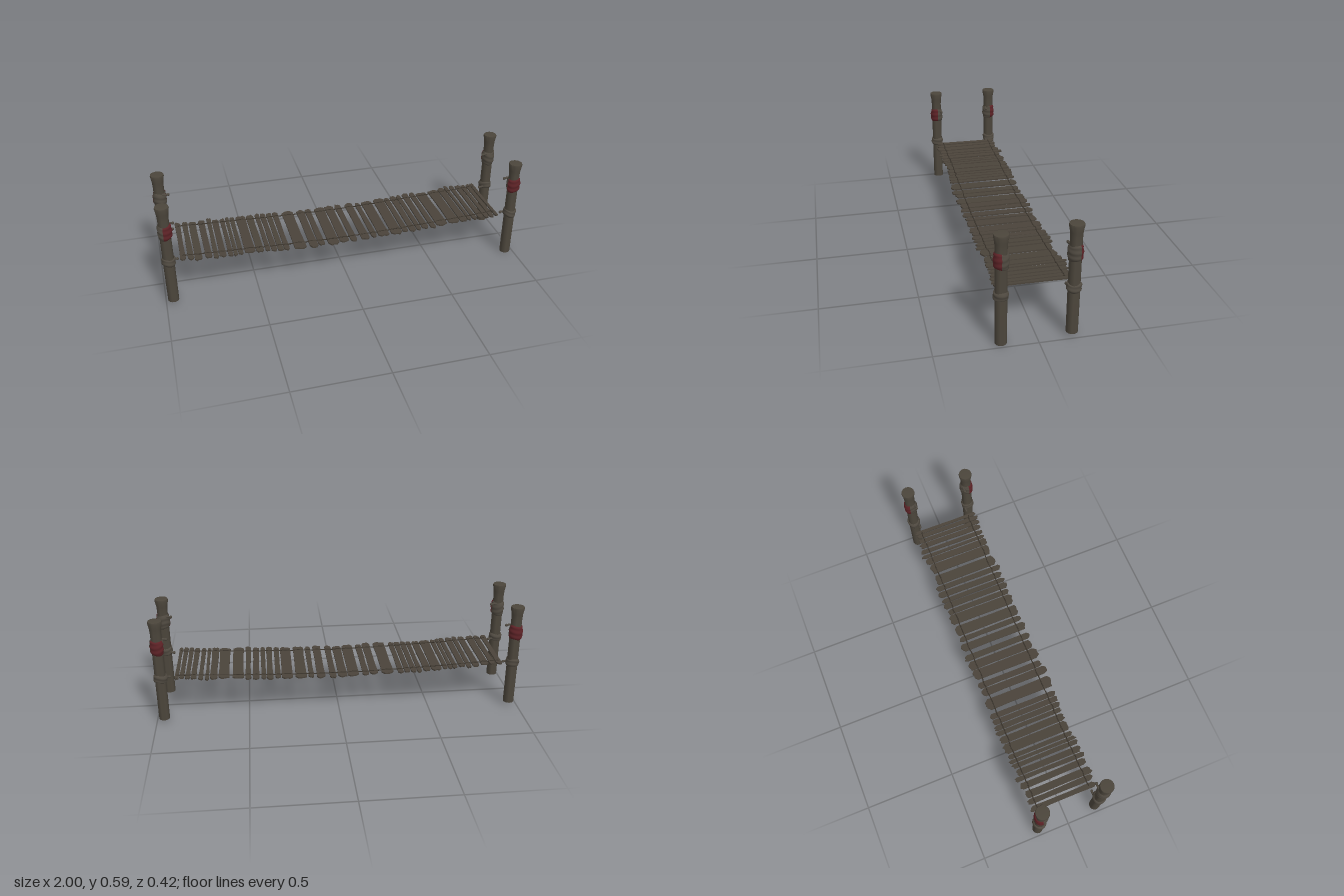
import * as THREE from 'three';
import { toCreasedNormals } from 'three/addons/utils/BufferGeometryUtils.js';

const mat = (name, color, side = THREE.FrontSide) => {
  const m = new THREE.MeshStandardMaterial({ color, side });
  m.name = name;
  return m;
};

// x ranges of the planks, in hundredths
const PLANKS = [
  [-90, -87], [-86, -83], [-82.5, -78.5], [-77, -73.5], [-72.5, -70], [-69.5, -66], [-65, -62.5], [-62, -60],
  [-59.5, -57], [-56, -50.5], [-50, -46], [-45, -42.5], [-42, -39], [-38.5, -35.5], [-35, -32], [-29.5, -23],
  [-21, -16.5], [-16, -12.5], [-10.5, -4.5], [-4, 1], [2, 5.5], [8, 12.5], [14, 17], [18, 24], [25.5, 31.5],
  [32, 35], [36, 39.5], [40, 42.5], [43.5, 47], [48, 51], [52, 58], [59.5, 65.5], [66, 70], [70.5, 72.5],
  [73.5, 76], [77, 80], [80.5, 83], [83.5, 86], [86.5, 88.5],
];

// walkway height: nearly flat in the middle, rising to both ends
const sag = (x) => 0.23 + 0.031 * Math.pow(Math.abs(x) / 0.9, 1.5);

export function createModel() {
  const model = new THREE.Group();
  model.name = 'plankBridge';
  const wood = mat('postWood', 0x4b453b);
  const plankWood = mat('plankWood', 0x4a433a);
  const cloth = mat('wrapping', 0x4e483f, THREE.DoubleSide);
  const red = mat('redCloth', 0x5c2226, THREE.DoubleSide);
  const rope = mat('rope', 0x3b352d);

  let seed = 17;
  const rnd = () => (seed = (seed * 16807) % 2147483647) / 2147483647;
  const add = (parent, name, geo, material) => {
    const mesh = new THREE.Mesh(geo, material);
    mesh.name = name;
    parent.add(mesh);
    return mesh;
  };

  // Post with a flared head and a shallow crown
  const postProfile = [
    [0, 0], [0.029, 0], [0.0295, 0.2], [0.029, 0.5], [0.031, 0.535], [0.037, 0.567], [0.035, 0.575], [0, 0.578],
  ].map(([r, y]) => new THREE.Vector2(r, y));
  const postGeo = toCreasedNormals(new THREE.LatheGeometry(postProfile, 20), 0.7);

  // Lumpy cloth band covering the angles a0..a1 (degrees from +x towards +z)
  function wrapGeo(y0, y1, r, a0, a1, phase) {
    const pts = [];
    for (let i = 0; i <= 14; i++) {
      const t = i / 14;
      const bulge = Math.pow(Math.sin(Math.PI * t), 0.35);
      pts.push(new THREE.Vector2(0.027 + (r - 0.027) * bulge, y0 + (y1 - y0) * t));
    }
    const rad = Math.PI / 180;
    const segs = Math.max(8, Math.round((a1 - a0) / 9));
    const geo = new THREE.LatheGeometry(pts, segs, (90 - a1) * rad, (a1 - a0) * rad);
    const p = geo.attributes.position;
    for (let i = 0; i < p.count; i++) {
      const x = p.getX(i), y = p.getY(i), z = p.getZ(i);
      const a = Math.atan2(z, x);
      const k = 1 + 0.045 * Math.sin(y * 210 + 2 * Math.sin(a + phase)) + 0.03 * Math.sin(3 * a + phase);
      p.setXYZ(i, x * k, y + 0.004 * Math.sin(a * 2 + phase), z * k);
    }
    geo.computeVertexNormals();
    return geo;
  }

  // Four posts: position, foot height and the angles of the red cloth
  const posts = [
    ['frontLeftPost', 0.96, 0.175, 0, 5, 170],
    ['frontRightPost', -0.96, 0.175, 0.015, -5, 105],
    ['backLeftPost', 0.96, -0.169, 0.015, 200, 332],
    ['backRightPost', -0.96, -0.169, 0.015, 185, 350],
  ];
  posts.forEach(([name, x, z, foot, a0, a1], n) => {
    const g = new THREE.Group();
    g.name = name;
    g.position.set(x, 0, z);
    model.add(g);
    add(g, 'post', postGeo, wood).position.y = foot;
    add(g, 'upperWrap', wrapGeo(0.402, 0.485, 0.0365, a1, a0 + 360, n), cloth);
    add(g, 'redWrap', wrapGeo(0.402, 0.485, 0.0375, a0, a1, n), red);
    add(g, 'lowerWrap', wrapGeo(0.24, 0.284, 0.0365, 0, 360, n + 2), cloth);
    // Short rope ends pointing to the walkway
    const sx = -Math.sign(x), sz = -Math.sign(z);
    for (const y of [0.253, 0.473]) {
      const path = new THREE.CatmullRomCurve3([
        new THREE.Vector3(sx * 0.015, y + 0.004, sz * 0.022),
        new THREE.Vector3(sx * 0.034, y + 0.002, sz * 0.024),
        new THREE.Vector3(sx * 0.046, y, sz * 0.023),
      ]);
      add(g, 'ropeEnd', new THREE.TubeGeometry(path, 6, 0.006, 8), cloth);
      const knot = add(g, 'ropeKnot', new THREE.SphereGeometry(0.008, 8, 6), cloth);
      knot.position.copy(path.getPoint(1));
    }
  });

  // Planks with splintered ends, each tilted to follow the sag
  const planks = new THREE.Group();
  planks.name = 'planks';
  model.add(planks);
  PLANKS.forEach(([l, r]) => {
    const x = (l + r) / 200, w = (r - l) / 100;
    const front = 0.175 + rnd() * 0.018, back = 0.175 + rnd() * 0.022;
    const shape = new THREE.Shape();
    const jag = (sign, len) => {
      for (let i = 0; i <= 4; i++) {
        const inner = i === 0 || i === 4 ? -0.012 : 0.012;
        shape.lineTo(sign * w * (i / 4 - 0.5), sign * -(len + inner * rnd()));
      }
    };
    shape.moveTo(-w / 2 + rnd() * 0.003, 0.06);
    shape.lineTo(-w / 2 + rnd() * 0.003, -0.08);
    jag(1, front);
    shape.lineTo(w / 2 - rnd() * 0.003, -0.05);
    shape.lineTo(w / 2 - rnd() * 0.003, 0.09);
    jag(-1, back);
    const geo = new THREE.ExtrudeGeometry(shape, { depth: 0.008, bevelEnabled: false });
    geo.rotateX(-Math.PI / 2).translate(0, -0.004, 0);
    const plank = add(planks, 'plank', geo, plankWood);
    plank.position.set(x, sag(x) + (rnd() - 0.5) * 0.002, 0);
    plank.rotation.set((rnd() - 0.5) * 0.012, (rnd() - 0.5) * 0.012, Math.atan((sag(x + 0.01) - sag(x - 0.01)) / 0.02));
  });

  // Lashing ropes running over the planks and dipping into the gaps
  for (const z of [-0.152, 0.145]) {
    const pts = [];
    PLANKS.forEach(([l, r], i) => {
      const x = (l + r) / 200;
      pts.push(new THREE.Vector3(x, sag(x) + 0.0055, z + (rnd() - 0.5) * 0.008));
      if (i < PLANKS.length - 1) {
        const gx = (r + PLANKS[i + 1][0]) / 200;
        pts.push(new THREE.Vector3(gx, sag(gx) + 0.003, z));
      }
    });
    const path = new THREE.CatmullRomCurve3(pts);
    add(model, z > 0 ? 'frontLashing' : 'backLashing', new THREE.TubeGeometry(path, 200, 0.003, 6), rope);
  }
  return model;
}
